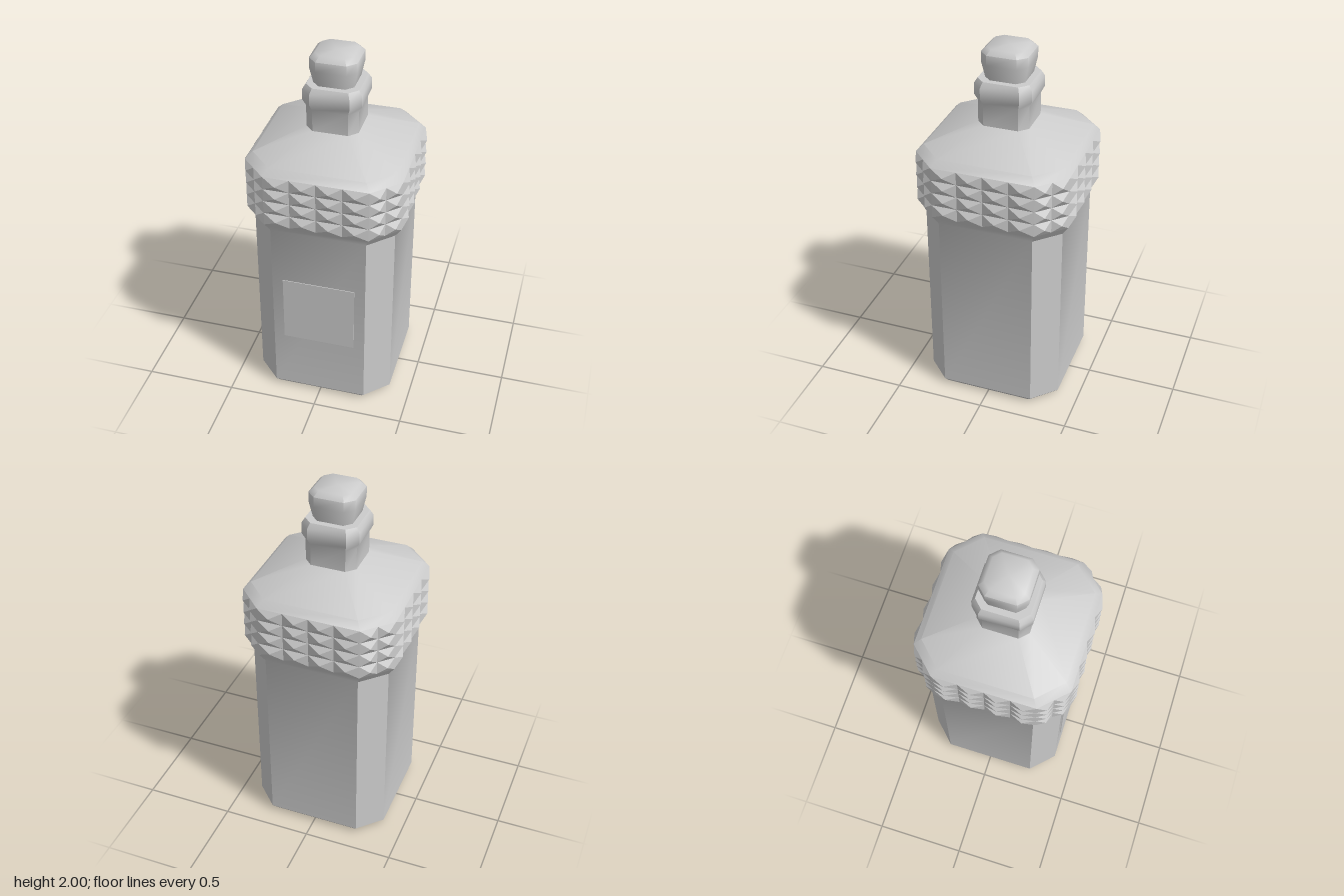
import * as THREE from 'three';
import { toCreasedNormals } from 'three/addons/utils/BufferGeometryUtils.js';

// Square with cut corners: h = half width, f = half length of each straight side
function ring(h, f) {
  return [[h, -f], [h, f], [f, h], [-f, h], [-h, f], [-h, -f], [-f, -h], [f, -h]];
}

// Skin a stack of cut-corner squares given as [y, h, f]
function loft(levels, { bottom = false, top = false, crease = 0.6 } = {}) {
  const pos = [], index = [], n = 8;
  for (const [y, h, f] of levels) for (const [x, z] of ring(h, f)) pos.push(x, y, z);
  for (let i = 0; i < levels.length - 1; i++) {
    for (let j = 0; j < n; j++) {
      const a = i * n + j, b = i * n + (j + 1) % n;
      index.push(a, a + n, b, b, a + n, b + n);
    }
  }
  const cap = (level, up) => {
    const c = pos.length / 3;
    pos.push(0, levels[level][0], 0);
    for (let j = 0; j < n; j++) {
      const a = level * n + j, b = level * n + (j + 1) % n;
      if (up) index.push(c, b, a); else index.push(c, a, b);
    }
  };
  if (bottom) cap(0, false);
  if (top) cap(levels.length - 1, true);
  const geo = new THREE.BufferGeometry();
  geo.setAttribute('position', new THREE.Float32BufferAttribute(pos, 3));
  geo.setIndex(index);
  return toCreasedNormals(geo, crease);
}

// Band of four-sided pyramids: four per straight side, two per corner cut
function studBand(y0, y1, rows, h, f, height) {
  const pos = [], corners = ring(h, f), path = [];
  corners.forEach((p, k) => {
    const q = corners[(k + 1) % 8], count = k % 2 === 0 ? 4 : 2;
    for (let i = 0; i < count; i++) {
      const at = t => [p[0] + (q[0] - p[0]) * t, p[1] + (q[1] - p[1]) * t];
      path.push([at(i / count), at((i + 1) / count)]);
    }
  });
  const dy = (y1 - y0) / rows;
  for (let r = 0; r < rows; r++) {
    const lo = y0 + r * dy, hi = lo + dy;
    for (const [a, b] of path) {
      const dx = b[0] - a[0], dz = b[1] - a[1], len = Math.hypot(dx, dz);
      const tip = [
        (a[0] + b[0]) / 2 + dz / len * height,
        (lo + hi) / 2,
        (a[1] + b[1]) / 2 - dx / len * height,
      ];
      const quad = [[a[0], lo, a[1]], [a[0], hi, a[1]], [b[0], hi, b[1]], [b[0], lo, b[1]]];
      quad.forEach((v, i) => pos.push(...v, ...quad[(i + 1) % 4], ...tip));
    }
  }
  const geo = new THREE.BufferGeometry();
  geo.setAttribute('position', new THREE.Float32BufferAttribute(pos, 3));
  geo.computeVertexNormals();
  return geo;
}

export function createModel() {
  const group = new THREE.Group();
  const smooth = new THREE.MeshStandardMaterial({ color: 0xcccccc });
  const faceted = new THREE.MeshStandardMaterial({ color: 0xcccccc, flatShading: true });
  const add = (name, geo, mat = smooth) => {
    const mesh = new THREE.Mesh(geo, mat);
    mesh.name = name;
    group.add(mesh);
    return mesh;
  };

  // Tall body, flaring out under the collar
  add('body', loft([
    [0, 0.36, 0.245], [0.03, 0.385, 0.26], [1.1, 0.385, 0.26], [1.155, 0.42, 0.28],
  ], { bottom: true }));

  // Studded collar
  add('studdedCollar', studBand(1.155, 1.45, 4, 0.42, 0.28, 0.023), faceted);

  // Sloping shoulder
  add('shoulder', loft([
    [1.45, 0.42, 0.28], [1.487, 0.385, 0.255], [1.588, 0.14, 0.095],
  ]));

  // Neck with a rolled lip
  add('neck', loft([
    [1.588, 0.14, 0.095], [1.71, 0.14, 0.095], [1.745, 0.157, 0.105],
    [1.805, 0.157, 0.105], [1.835, 0.14, 0.095],
  ], { top: true }));

  // Stopper, wider toward its bevelled top
  add('stopper', loft([
    [1.83, 0.107, 0.07], [1.92, 0.126, 0.08], [1.975, 0.126, 0.08], [2.0, 0.1, 0.065],
  ], { bottom: true, top: true, crease: 0.9 }));

  // Thin label on the front
  const label = add('label', new THREE.BoxGeometry(0.4, 0.395, 0.01));
  label.position.set(0, 0.578, 0.384);

  return group;
}
